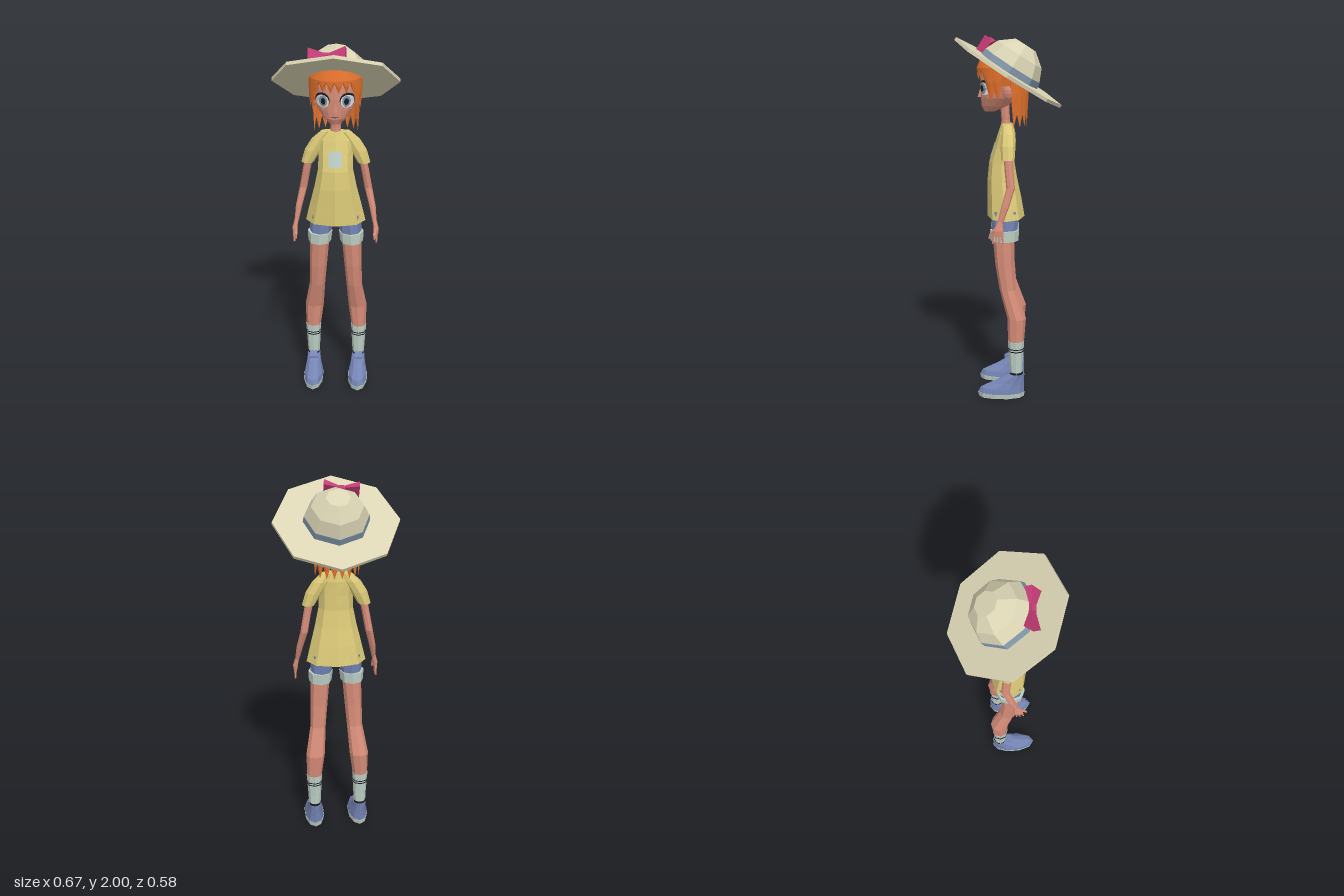
import * as THREE from 'three';

const mat = (name, color, side = THREE.FrontSide) => {
  const m = new THREE.MeshStandardMaterial({ color, side });
  m.name = name;
  return m;
};
const M = {
  straw: mat('straw', 0xdad4b4), band: mat('greyBlue', 0x8298aa),
  hair: mat('orangeHair', 0xe0702c, THREE.DoubleSide), skin: mat('skin', 0xd68c78),
  shirt: mat('yellowShirt', 0xdcca78), denim: mat('denim', 0x7484b4),
  sock: mat('paleGreen', 0xbccec4), bow: mat('pinkBow', 0xc43c74),
  black: mat('black', 0x1c1a20), white: mat('eyeWhite', 0xe4e8e6),
};

// Faceted mesh: every face keeps its own normal
function add(parent, name, geometry, material) {
  const g = geometry.index ? geometry.toNonIndexed() : geometry;
  g.computeVertexNormals();
  const mesh = new THREE.Mesh(g, material);
  mesh.name = name;
  parent.add(mesh);
  return mesh;
}

function buildGeometry(pos, idx) {
  const g = new THREE.BufferGeometry();
  g.setAttribute('position', new THREE.Float32BufferAttribute(pos, 3));
  g.setIndex(idx);
  return g;
}

// Closed loft through level rings [y, cx, cz, rx, rz], lowest first
function loft(rows, n = 8) {
  const pos = [], idx = [];
  for (const [y, cx, cz, rx, rz] of rows)
    for (let i = 0; i < n; i++) {
      const a = (i / n) * Math.PI * 2;
      pos.push(cx + rx * Math.sin(a), y, cz + rz * Math.cos(a));
    }
  for (let r = 0; r < rows.length - 1; r++)
    for (let i = 0; i < n; i++) {
      const a = r * n + i, b = r * n + (i + 1) % n;
      idx.push(a, b, b + n, a, b + n, a + n);
    }
  const last = rows.length - 1, c = pos.length / 3;
  for (const r of [0, last]) pos.push(rows[r][1], rows[r][0], rows[r][2]);
  for (let i = 0; i < n; i++) {
    const j = (i + 1) % n;
    idx.push(c, j, i, c + 1, last * n + i, last * n + j);
  }
  return buildGeometry(pos, idx);
}

// Ring from front and back depth, centred on x = 0
const ring = (y, rx, back, front) => [y, 0, (front + back) / 2, rx, (front - back) / 2];

// Lay a flat shape onto the front of a loft
function drape(g, rows, lift) {
  const p = g.attributes.position;
  for (let i = 0; i < p.count; i++) {
    const x = p.getX(i), y = p.getY(i);
    let k = 0;
    while (k < rows.length - 2 && y > rows[k + 1][0]) k++;
    const t = (y - rows[k][0]) / (rows[k + 1][0] - rows[k][0]);
    const [, , cz, rx, rz] = rows[k].map((v, j) => v + (rows[k + 1][j] - v) * t);
    p.setZ(i, cz + rz * Math.sqrt(Math.max(0, 1 - (x / rx) ** 2)) + lift);
  }
  return g;
}

const headRows = [
  ring(1.595, 0.03, 0.07, 0.13), ring(1.625, 0.065, 0.0, 0.145), ring(1.67, 0.095, -0.04, 0.148),
  ring(1.73, 0.113, -0.08, 0.152), ring(1.8, 0.118, -0.09, 0.15), ring(1.86, 0.1, -0.09, 0.125),
  ring(1.9, 0.065, -0.07, 0.08),
];

const shirtRows = [
  ring(1.015, 0.165, -0.09, 0.115), ring(1.12, 0.14, -0.072, 0.115), ring(1.22, 0.115, -0.05, 0.115),
  ring(1.32, 0.095, -0.033, 0.105), ring(1.4, 0.092, -0.03, 0.08), ring(1.48, 0.095, -0.03, 0.055),
  ring(1.53, 0.05, -0.02, 0.038),
];

// Hair shell whose lower edge changes with the angle around the head
function hairGeometry() {
  const n = 40, levels = 6, pos = [], idx = [];
  const hem = (deg, tip) => {
    if (deg < 50) return tip ? 1.765 : 1.815;
    if (deg < 82) return tip ? 1.66 : 1.71;
    if (deg < 110) return 1.735;
    return tip ? 1.515 : 1.585;
  };
  for (let i = 0; i < n; i++) {
    const a = (i / n) * Math.PI * 2;
    const deg = (Math.min(i, n - i) / n) * 360;
    const low = hem(deg, i % 2 === 1);
    const rows = [[1.915, 0.01], [1.91, 0.5], [1.88, 0.85], [1.83, 1], [(1.83 + low) / 2, 1], [low, 0.94]];
    for (const [y, s] of rows) pos.push(0.14 * s * Math.sin(a), y, 0.03 + 0.14 * s * Math.cos(a));
    for (let r = 0; r < levels - 1; r++) {
      const p = i * levels + r, q = ((i + 1) % n) * levels + r;
      idx.push(p, p + 1, q + 1, p, q + 1, q);
    }
  }
  return buildGeometry(pos, idx);
}

function buildHead(root) {
  const head = new THREE.Group();
  head.name = 'head';
  root.add(head);
  add(head, 'face', loft(headRows, 16), M.skin);
  add(head, 'neck', loft([[1.48, 0, 0.01, 0.036, 0.032], [1.55, 0, 0.015, 0.027, 0.023], [1.65, 0, 0.02, 0.028, 0.026]]), M.skin);
  add(head, 'hair', hairGeometry(), M.hair);
  const nose = add(head, 'nose', new THREE.ConeGeometry(0.014, 0.045, 4), M.skin);
  nose.position.set(0, 1.693, 0.153);
  // Painted face details
  const spot = (name, x, y, w, h, lift, m) =>
    add(head, name, drape(new THREE.CircleGeometry(1, 16).scale(w, h, 1).translate(x, y, 0), headRows, lift), m);
  spot('mouth', 0, 1.637, 0.02, 0.0025, 0.003, M.black);
  for (const s of [1, -1]) {
    spot('eyeOutline', s * 0.064, 1.726, 0.039, 0.039, 0.002, M.black);
    spot('eyeWhite', s * 0.064, 1.72, 0.035, 0.034, 0.004, M.white);
    spot('iris', s * 0.06, 1.721, 0.022, 0.03, 0.006, M.band);
    spot('pupil', s * 0.06, 1.721, 0.012, 0.018, 0.008, M.black);
    spot('nostril', s * 0.009, 1.671, 0.005, 0.003, 0.003, M.black);
    const ear = add(head, 'ear', new THREE.SphereGeometry(1, 8, 6).scale(0.018, 0.04, 0.026), M.skin);
    ear.position.set(s * 0.118, 1.7, 0.0);
    ear.rotation.z = -s * 0.2;
  }
}

function buildHat(root) {
  const hat = new THREE.Group();
  hat.name = 'hat';
  hat.position.set(0, 1.8, 0);
  hat.rotation.x = -0.566;
  root.add(hat);
  add(hat, 'brim', new THREE.CylinderGeometry(0.337, 0.337, 0.018, 8), M.straw);
  add(hat, 'hatBand', loft([[0, 0, 0, 0.178, 0.178], [0.045, 0, 0, 0.172, 0.172]]), M.band);
  add(hat, 'crown', loft([[0.045, 0, 0, 0.17, 0.17], [0.115, 0, 0, 0.138, 0.138], [0.173, 0, 0, 0.064, 0.064]]), M.straw);
  const bow = new THREE.Group();
  bow.name = 'bow';
  bow.position.set(-0.04, 0.06, 0.18);
  bow.rotation.y = -0.12;
  hat.add(bow);
  add(bow, 'bowKnot', new THREE.CylinderGeometry(0.02, 0.02, 0.036, 6).rotateZ(Math.PI / 2), M.bow);
  for (const s of [1, -1]) {
    const wing = new THREE.CylinderGeometry(0.062, 0.022, 0.085, 4).rotateY(Math.PI / 4);
    add(bow, 'bowLoop', wing.scale(1, 1, 0.45).rotateZ(-s * Math.PI / 2).translate(s * 0.053, 0, 0), M.bow);
  }
}

// One arm and one leg; side is +1 for the left
function buildLimbs(root, side) {
  const limb = (name, rows, m, n) => add(root, name, loft(rows.map(([y, x, ...r]) => [y, side * x, ...r]), n), m);
  limb('sleeve', [[1.35, 0.152, 0, 0.035, 0.036], [1.42, 0.122, 0, 0.045, 0.04], [1.48, 0.085, 0, 0.045, 0.036], [1.525, 0.05, 0.005, 0.03, 0.028]], M.shirt);
  limb('arm', [[1.02, 0.215, 0.04, 0.012, 0.015], [1.1, 0.202, 0.015, 0.018, 0.021], [1.2, 0.178, -0.015, 0.021, 0.023], [1.3, 0.16, -0.006, 0.021, 0.024], [1.4, 0.14, 0, 0.022, 0.025]], M.skin);
  limb('palm', [[0.95, 0.226, 0.05, 0.01, 0.027], [0.98, 0.225, 0.05, 0.014, 0.027], [1.025, 0.215, 0.041, 0.012, 0.015]], M.skin);
  for (let i = 0; i < 4; i++) {
    const z = 0.029 + i * 0.0145, tip = 0.9 + Math.abs(i - 1.5) * 0.007;
    limb('finger', [[tip, 0.227, z + (i - 1) * 0.004, 0.004, 0.004], [0.965, 0.226, z, 0.008, 0.007]], M.skin, 5);
  }
  limb('thumb', [[0.935, 0.215, 0.098, 0.005, 0.005], [0.96, 0.216, 0.092, 0.008, 0.008], [0.995, 0.218, 0.06, 0.009, 0.009]], M.skin, 5);

  limb('shortsLeg', [[0.93, 0.085, 0.02, 0.058, 0.068], [1.06, 0.075, 0.015, 0.068, 0.078]], M.denim);
  limb('shortsCuff', [[0.895, 0.089, 0.02, 0.064, 0.077], [0.955, 0.087, 0.02, 0.069, 0.08]], M.sock);
  limb('leg', [[0.32, 0.133, -0.045, 0.042, 0.044], [0.46, 0.125, -0.048, 0.053, 0.052], [0.62, 0.105, 0.002, 0.044, 0.045], [0.75, 0.098, 0.018, 0.049, 0.051], [0.92, 0.088, 0.027, 0.054, 0.058]], M.skin);
  limb('sock', [[0.1, 0.132, -0.048, 0.032, 0.033], [0.2, 0.132, -0.045, 0.037, 0.038], [0.33, 0.133, -0.045, 0.045, 0.046]], M.sock);
  for (const y of [0.27, 0.284])
    limb('sockStripe', [[y, 0.1325, -0.045, 0.0435, 0.0445], [y + 0.005, 0.1325, -0.045, 0.0438, 0.0448]], M.black);

  limb('shoeSole', [[0, 0.13, 0.037, 0.055, 0.127], [0.026, 0.13, 0.038, 0.059, 0.132]], M.sock, 10);
  limb('shoe', [[0.026, 0.13, 0.038, 0.057, 0.13], [0.055, 0.13, 0.031, 0.053, 0.122], [0.085, 0.131, -0.002, 0.044, 0.088], [0.135, 0.132, -0.048, 0.037, 0.043]], M.denim, 10);
  limb('shoeLining', [[0.132, 0.132, -0.047, 0.035, 0.038], [0.147, 0.132, -0.047, 0.035, 0.037]], M.black, 10);
  const tongue = add(root, 'shoeTongue', new THREE.BoxGeometry(0.045, 0.01, 0.045), M.denim);
  tongue.position.set(side * 0.132, 0.144, 0.003);
  tongue.rotation.x = -0.45 + 0.9;
}

export function createModel() {
  const root = new THREE.Group();
  root.name = 'girlInSunHat';
  buildHead(root);
  buildHat(root);
  add(root, 'shirt', loft(shirtRows), M.shirt);
  add(root, 'shirtPatch', drape(new THREE.PlaneGeometry(0.07, 0.085, 4, 4).translate(0, 1.388, 0), shirtRows, 0.003), M.sock);
  add(root, 'shortsHips', loft([[1.0, 0, 0.015, 0.1, 0.06], [1.05, 0, 0.015, 0.13, 0.08], [1.15, 0, 0.015, 0.11, 0.07]]), M.denim);
  for (const side of [1, -1]) buildLimbs(root, side);
  return root;
}
